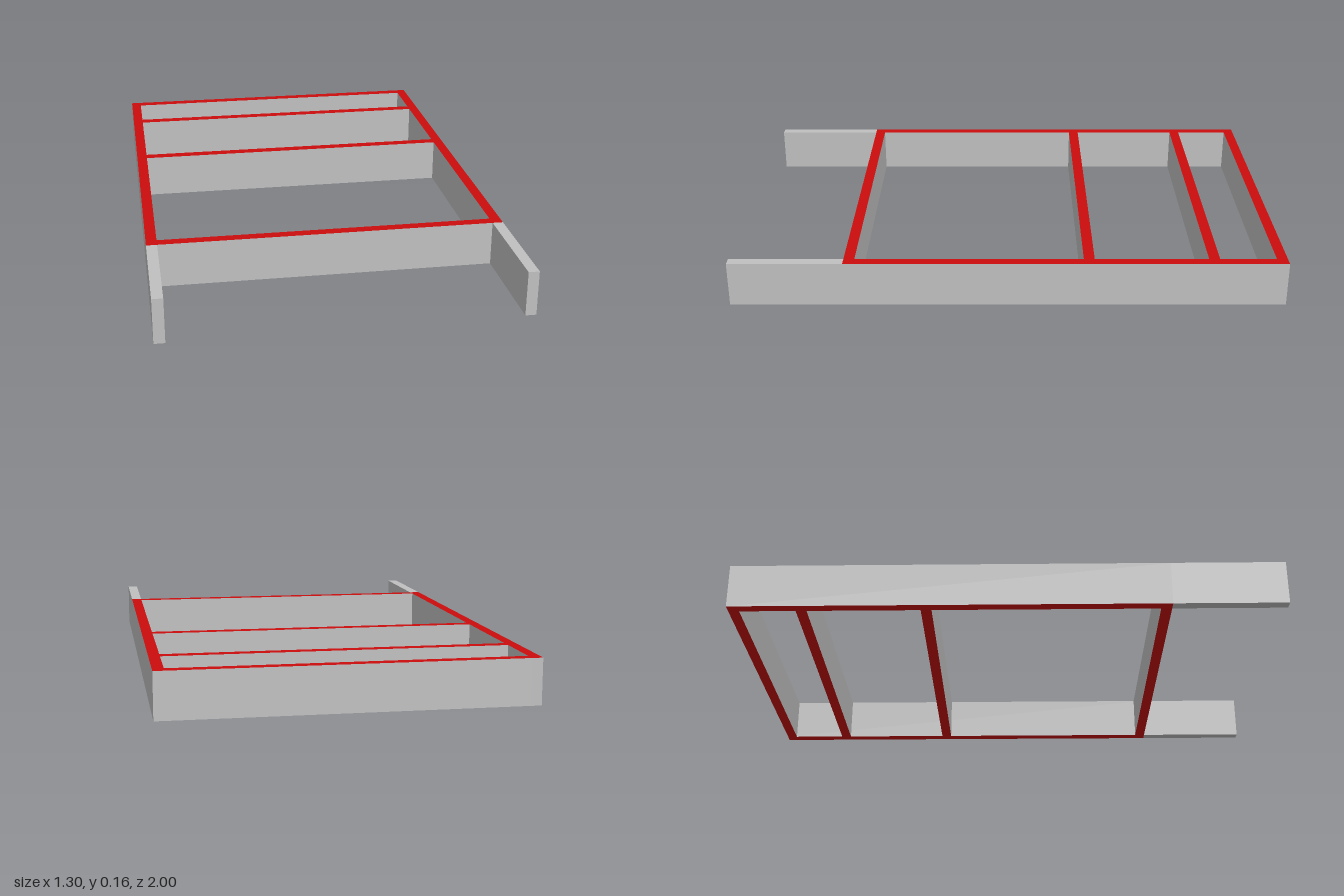
import * as THREE from 'three';

const HEIGHT = 0.164, HALF_WIDTH = 0.65, THICK = 0.039;
const INNER = HALF_WIDTH - THICK;
const BACK = -1, FRAME_FRONT = 0.588, FRONT = 1;

export function createModel() {
  const grey = new THREE.MeshStandardMaterial({ name: 'light grey', color: 0xc0c0c0 });
  const red = new THREE.MeshStandardMaterial({ name: 'red', color: 0xcc0c0c });
  // box sides in order +x, -x, +y, -y, +z, -z: top and bottom edges are red
  const edged = [grey, grey, red, red, grey, grey];

  const model = new THREE.Group();
  model.name = 'ladderFrame';

  function beam(name, x0, x1, z0, z1, material) {
    const mesh = new THREE.Mesh(new THREE.BoxGeometry(x1 - x0, HEIGHT, z1 - z0), material);
    mesh.position.set((x0 + x1) / 2, HEIGHT / 2, (z0 + z1) / 2);
    mesh.name = name;
    model.add(mesh);
  }

  // side rails, with plain extensions past the front crossbar
  for (const [side, x0] of [['left', INNER], ['right', -HALF_WIDTH]]) {
    beam(side + 'Rail', x0, x0 + THICK, BACK, FRAME_FRONT, edged);
    beam(side + 'RailExtension', x0, x0 + THICK, FRAME_FRONT, FRONT, grey);
  }

  // crossbars between the rails, from back to front
  const bars = { backCrossbar: BACK, rearCrossbar: -0.758, middleCrossbar: -0.31, frontCrossbar: FRAME_FRONT - THICK };
  for (const [name, z] of Object.entries(bars)) beam(name, -INNER, INNER, z, z + THICK, edged);

  return model;
}
